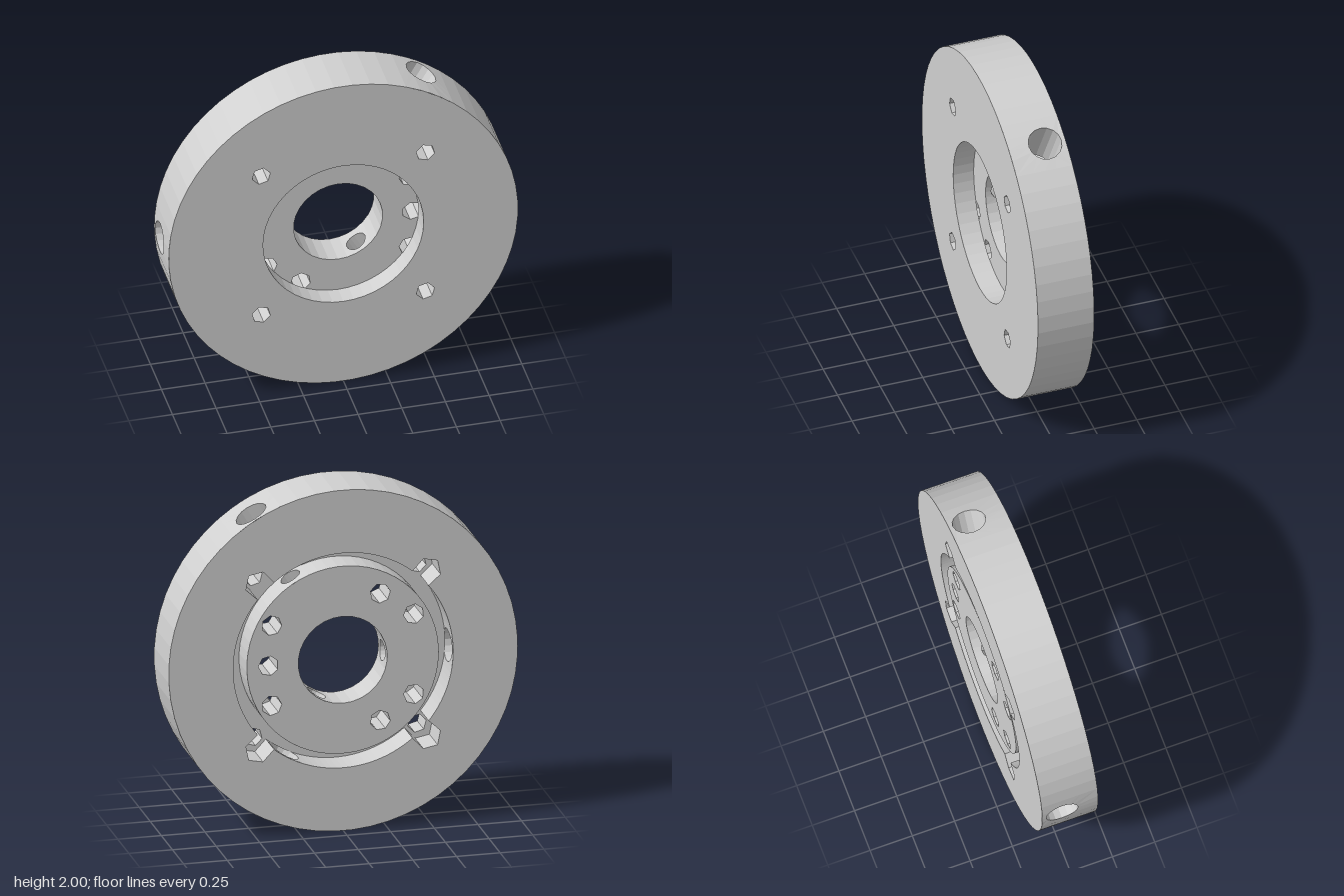
import * as THREE from 'three';

const RAD = Math.PI / 180;
const FRONT = 0.165, BACK = -0.165, HUB_BACK = -0.155, RECESS = 0.045, CHANNEL = 0.02;
const R_OUT = 1, R_CHANNEL = 0.63, R_HUB = 0.55, R_RECESS = 0.46, R_BORE = 0.255;
const PORTS = [60, 180, 300];   // directions of the radial holes
const PORT_Z = -0.047;

const metal = new THREE.MeshStandardMaterial({ color: 0xd0d0d0, side: THREE.DoubleSide });
metal.name = 'light grey metal';

// Points of a full circle in the plane of the disc
const circle = (cx, cy, r, n, start = 0) => Array.from({ length: n }, (_, i) => {
  const t = start * RAD + i / n * Math.PI * 2;
  return new THREE.Vector2(cx + r * Math.cos(t), cy + r * Math.sin(t));
});

// Channel outline: a circle with four lobes at the bolts
const channelOutline = Array.from({ length: 120 }, (_, i) => {
  const d = (i * 3) % 90 - 45;
  const inLobe = Math.abs(d) <= 3;
  const off = inLobe ? d / 3 * 5.5 : d;   // widen the lobe mouth
  const t = (i * 3 - d + off) * RAD, R = 0.69, s = R * Math.sin(off * RAD);
  const r = inLobe ? R * Math.cos(off * RAD) + Math.sqrt(0.075 ** 2 - s * s) : R_CHANNEL;
  return new THREE.Vector2(r * Math.cos(t), r * Math.sin(t));
});

const bolts = [45, 135, 225, 315].map(a => {
  const s = 0.47 * Math.SQRT2;
  return circle(s * Math.cos(a * RAD), s * Math.sin(a * RAD), 0.054, 6, a);
});
const hubHoles = [[0, 0.425], [30, 0.47], [-30, 0.47], [120, 0.43], [-120, 0.43], [150, 0.47], [-150, 0.47]]
  .map(([a, r]) => circle(r * Math.cos(a * RAD), r * Math.sin(a * RAD), 0.058, 7, a));

// Triangles of a closed band between two matching loops
function band(a, b, skip = () => false) {
  const v = [];
  a.forEach((p, i) => {
    if (skip(i)) return;
    const j = (i + 1) % a.length;
    for (const q of [p, a[j], b[j], p, b[j], b[i]]) v.push(q.x, q.y, q.z);
  });
  const g = new THREE.BufferGeometry();
  g.setAttribute('position', new THREE.Float32BufferAttribute(v, 3));
  g.computeVertexNormals();
  return g;
}
const lift = (pts, z) => pts.map(p => new THREE.Vector3(p.x, p.y, z));

// Loop wrapped on a cylinder of radius r around one radial port
const wrap = (deg, r, fn) => Array.from({ length: 16 }, (_, i) => {
  const t = i / 16 * Math.PI * 2;
  const [u, z] = fn(Math.cos(t), Math.sin(t));
  const a = deg * RAD + u;
  return new THREE.Vector3(r * Math.cos(a), r * Math.sin(a), z);
});
const portLoop = (deg, r, rad) => wrap(deg, r, (c, s) => [Math.asin(rad * c / r), PORT_Z + rad * s]);
const frameLoop = (deg, r, half, z0, z1) => wrap(deg, r, (c, s) => {
  const m = Math.max(Math.abs(c), Math.abs(s));
  return [half * RAD * c / m, (z0 + z1) / 2 + (z1 - z0) / 2 * s / m];
});

export function createModel() {
  const model = new THREE.Group();
  const body = new THREE.Group();
  body.name = 'disc';
  body.position.y = 1;
  model.add(body);
  const add = (name, geometry) => {
    const m = new THREE.Mesh(geometry, metal);
    m.name = name;
    body.add(m);
  };

  // Flat face with holes, turned to the front or the back
  const face = (name, outline, holes, z, front) => {
    const s = new THREE.Shape(outline);
    s.holes = holes.map(h => new THREE.Path(h));
    const g = new THREE.ShapeGeometry(s);
    if (!front) {
      const ix = g.index.array;
      for (let i = 0; i < ix.length; i += 3) [ix[i], ix[i + 1]] = [ix[i + 1], ix[i]];
      g.computeVertexNormals();
    }
    g.translate(0, 0, z);
    add(name, g);
  };
  const wall = (name, pts, z0, z1) => add(name, band(lift(pts, z0), lift(pts, z1)));

  // Round wall with a framed opening at each radial port
  const portedWall = (name, pts, start, step, r, half, rad, z0, z1) => {
    const skip = i => PORTS.some(p => Math.abs(start + (i + 0.5) * step - p) < half);
    add(name, band(lift(pts, z0), lift(pts, z1), skip));
    for (const p of PORTS)
      add(name + 'Port', band(portLoop(p, r, rad), frameLoop(p, r, half, z0, z1)));
  };

  const rim = circle(0, 0, R_OUT, 60, 3);
  const hub = circle(0, 0, R_HUB, 60, 3);
  const bore = circle(0, 0, R_BORE, 30, 6);
  const recess = circle(0, 0, R_RECESS, 48);

  // Flat faces
  face('frontFace', rim, [recess, ...bolts], FRONT, true);
  face('backFace', rim, [channelOutline], BACK, false);
  face('recessFloor', hub, [bore, ...hubHoles], RECESS, true);
  face('recessLip', hub, [recess], RECESS + 0.002, false);
  face('hubBack', hub, [bore, ...hubHoles], HUB_BACK, false);
  face('channelFloor', channelOutline, [hub, ...bolts], CHANNEL, false);

  // Round walls
  portedWall('outerRim', rim, 3, 6, R_OUT, 9, 0.095, BACK, FRONT);
  portedWall('channelWall', channelOutline, 0, 3, R_CHANNEL, 9, 0.095, BACK, FRONT - 0.01);
  portedWall('hubWall', hub, 3, 6, R_HUB, 9, 0.06, HUB_BACK, RECESS);
  portedWall('boreWall', bore, 6, 12, R_BORE, 18, 0.06, HUB_BACK, RECESS);
  wall('recessWall', recess, RECESS, FRONT);

  // Holes along the axis
  bolts.forEach(b => wall('boltHole', b, CHANNEL, FRONT));
  hubHoles.forEach(h => wall('hubHole', h, HUB_BACK, RECESS));

  // Radial holes through the rim and the hub
  for (const p of PORTS) {
    add('rimPort', band(portLoop(p, R_OUT, 0.095), portLoop(p, R_CHANNEL, 0.095)));
    add('hubPort', band(portLoop(p, R_HUB, 0.06), portLoop(p, R_BORE, 0.06)));
  }
  return model;
}
